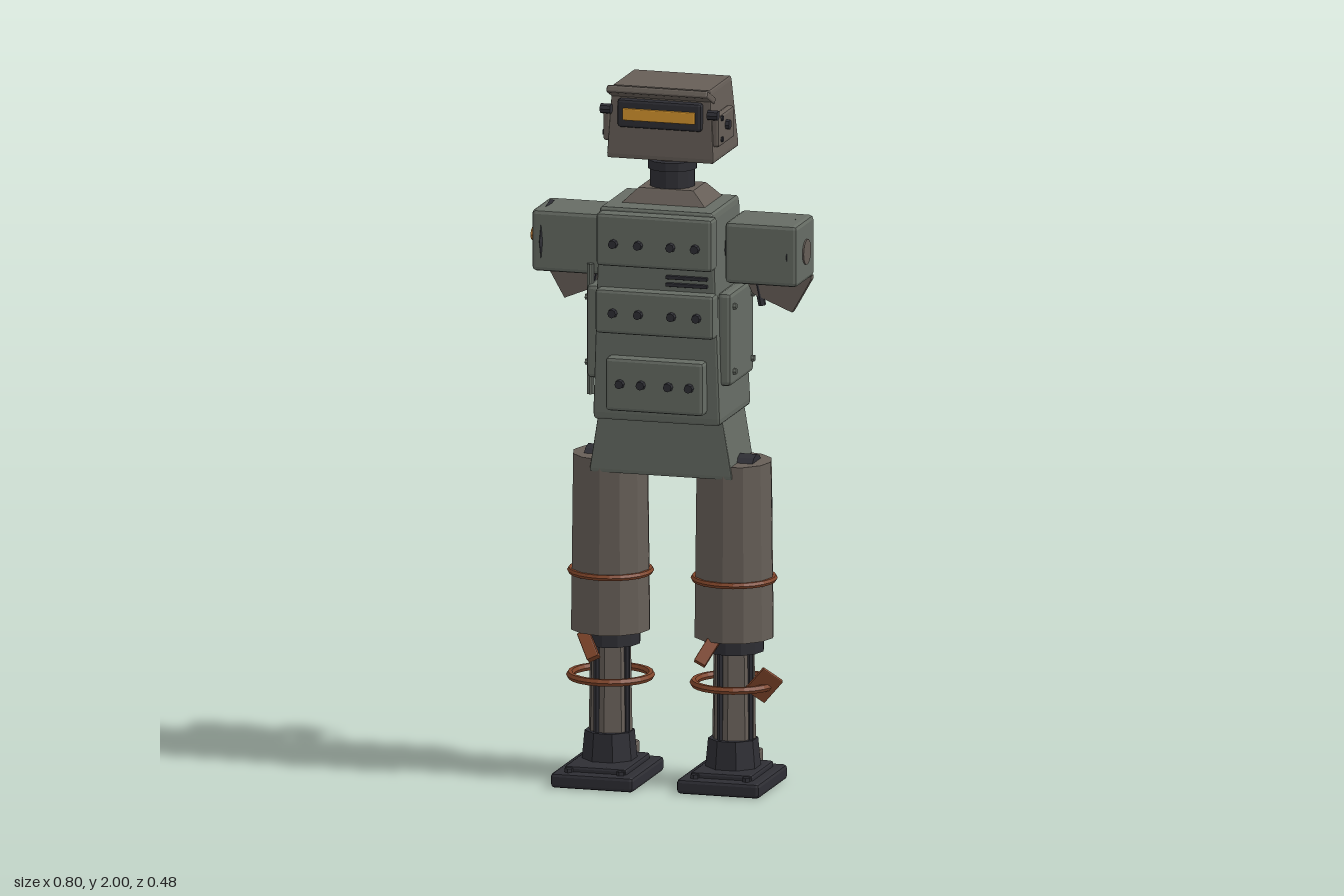
import * as THREE from 'three';
import { RoundedBoxGeometry } from 'three/addons/geometries/RoundedBoxGeometry.js';

const mat = (color) => new THREE.MeshStandardMaterial({ color, flatShading: true });
const GREEN = mat(0x666c64), BROWN = mat(0x665e57), DARK = mat(0x2e2e34);
const RUST = mat(0x80452a), ORANGE = mat(0xb0722f), GLOW = mat(0xd9982f);

export function createModel() {
  const root = new THREE.Group();

  const group = (name, parent = root) => {
    const g = new THREE.Group();
    g.name = name;
    parent.add(g);
    return g;
  };
  const add = (name, geo, m, pos = [0, 0, 0], rot = [0, 0, 0], parent = root) => {
    const mesh = new THREE.Mesh(geo, m);
    mesh.name = name;
    mesh.position.set(...pos);
    mesh.rotation.set(...rot);
    parent.add(mesh);
    return mesh;
  };
  // Bevelled box given by its ranges
  const block = (name, m, [x0, x1], [y0, y1], [z0, z1], parent, r = 0.008) =>
    add(name, new RoundedBoxGeometry(x1 - x0, y1 - y0, z1 - z0, 1, Math.min(r, (x1 - x0) / 3, (y1 - y0) / 3, (z1 - z0) / 3)),
      m, [(x0 + x1) / 2, (y0 + y1) / 2, (z0 + z1) / 2], [0, 0, 0], parent);
  // Bevelled box whose half width, back and front change from bottom to top
  const tapered = (name, m, y0, y1, bottom, top, parent, r = 0.012) => {
    const g = new RoundedBoxGeometry(1, y1 - y0, 1, 1, r);
    const p = g.attributes.position;
    for (let i = 0; i < p.count; i++) {
      const t = p.getY(i) / (y1 - y0) + 0.5;
      const [w, back, front] = bottom.map((b, k) => b + (top[k] - b) * t);
      p.setXYZ(i, p.getX(i) * 2 * w, p.getY(i), back + (p.getZ(i) + 0.5) * (front - back));
    }
    g.computeVertexNormals();
    return add(name, g, m, [0, (y0 + y1) / 2, 0], [0, 0, 0], parent);
  };
  const cyl = (rt, rb, h, n = 12) => new THREE.CylinderGeometry(rt, rb, h, n);
  const X_AXIS = [0, 0, Math.PI / 2], Z_AXIS = [Math.PI / 2, 0, 0];

  // Head
  const head = group('head');
  head.position.x = 0.003;
  tapered('skull', BROWN, 1.79, 1.995, [0.155, -0.085, 0.16], [0.142, -0.056, 0.15], head);
  block('visorFrame', DARK, [-0.122, 0.122], [1.88, 1.96], [0.13, 0.172], head);
  block('visorSlit', GLOW, [-0.105, 0.105], [1.902, 1.936], [0.15, 0.178], head, 0.003);
  add('brow', new RoundedBoxGeometry(0.295, 0.022, 0.085, 1, 0.006), BROWN, [0, 1.976, 0.152], [-0.42, 0, 0], head);
  for (const s of [-1, 1]) {
    const ear = group(s > 0 ? 'leftEar' : 'rightEar', head);
    block('earPlate', BROWN, [s * 0.157 - 0.012, s * 0.157 + 0.012], [1.835, 1.925], [0.0, 0.152], ear);
    add('earBolt', cyl(0.014, 0.014, 0.02, 8), DARK, [s * 0.17, 1.888, 0.083], X_AXIS, ear);
    for (const y of [1.855, 1.915])
      add('earRivet', cyl(0.008, 0.008, 0.012, 6), DARK, [s * 0.168, y, 0.13], X_AXIS, ear);
    add('visorHinge', cyl(0.014, 0.014, 0.03, 8), DARK, [s * 0.155, 1.93, 0.165], X_AXIS, ear);
  }

  // Neck and collar
  const neck = group('neck');
  add('neckPost', cyl(0.047, 0.047, 0.14), BROWN, [0, 1.75, 0.03], [0, 0, 0], neck);
  add('neckRing', cyl(0.064, 0.064, 0.085), DARK, [0, 1.725, 0.03], [0, 0, 0], neck);
  add('neckRingTop', cyl(0.07, 0.07, 0.025), DARK, [0, 1.757, 0.03], [0, 0, 0], neck);
  tapered('collar', BROWN, 1.645, 1.695, [0.13, -0.055, 0.125], [0.08, -0.025, 0.095], neck, 0.005);

  // Torso and pelvis
  const torso = group('torso');
  tapered('trunk', GREEN, 1.05, 1.655, [0.185, -0.113, 0.185], [0.165, -0.065, 0.19], torso, 0.02);
  tapered('pelvis', GREEN, 0.89, 1.07, [0.207, -0.068, 0.145], [0.178, -0.066, 0.148], torso, 0.01);
  block('rearBelt', BROWN, [-0.17, 0.17], [1.01, 1.042], [-0.092, -0.05], torso);
  block('chestVent', DARK, [0.03, 0.15], [1.442, 1.452], [0.17, 0.2], torso, 0.002);
  block('chestVent', DARK, [0.03, 0.15], [1.463, 1.473], [0.17, 0.2], torso, 0.002);

  // Front panels with bolts
  [[0.168, 1.495, 1.645, 0.226, 1.56], [0.172, 1.302, 1.428, 0.222, 1.362], [0.142, 1.083, 1.235, 0.222, 1.162]]
    .forEach(([w, y0, y1, z, by]) => {
      block('frontPanel', GREEN, [-w + 0.004, w + 0.004], [y0, y1], [0.17, z], torso, 0.01);
      for (const x of [-0.118, -0.045, 0.05, 0.122])
        add('panelBolt', cyl(0.012, 0.014, 0.02, 8), DARK, [x * w / 0.17 + 0.004, by, z + 0.004], Z_AXIS, torso);
    });

  // Side panels
  for (const s of [-1, 1]) {
    block('sidePanel', GREEN, [s * 0.19 - 0.02, s * 0.19 + 0.02], [1.16, 1.425], [-0.06, 0.165], torso, 0.012);
    for (const z of [-0.035, 0.14])
      for (const y of [1.2, 1.385])
        add('sideBolt', cyl(0.009, 0.009, 0.014, 6), GREEN, [s * 0.212, y, z], X_AXIS, torso);
  }
  add('sideRod', cyl(0.01, 0.01, 0.37, 8), GREEN, [-0.205, 1.295, 0.14], [0, 0, 0], torso);

  // Upper arms: box, double-cone shoulder hub and torn plate below
  const hub = (r, h) => new THREE.LatheGeometry(
    [[0, -h], [r * 0.45, -h * 0.75], [r, 0], [r * 0.45, h * 0.75], [0, h]].map(([x, y]) => new THREE.Vector2(x, y)), 12);
  const tornShape = new THREE.Shape([[-0.092, 0.01], [-0.065, -0.05], [0.05, -0.097], [0.105, 0.0], [0.105, 0.01]]
    .map(([x, y]) => new THREE.Vector2(x, y)));
  for (const s of [-1, 1]) {
    const arm = group(s > 0 ? 'leftArm' : 'rightArm');
    const cx = s > 0 ? 0.285 : -0.275;
    block('upperArm', GREEN, [cx - 0.105, cx + 0.105], [1.445, 1.62], [-0.042, 0.128], arm, 0.012);
    add('shoulderAxle', cyl(0.05, 0.05, 0.1), DARK, [s * 0.18, 1.53, 0.04], X_AXIS, arm);
    add('armHub', hub(s > 0 ? 0.092 : 0.102, 0.028), DARK, [s > 0 ? 0.36 : -0.352, 1.53, 0.04], X_AXIS, arm);
    add('armEndDisc', cyl(0.036, 0.036, 0.01, 16), BROWN, [cx + s * 0.104, 1.53, 0.04], X_AXIS, arm);
    const torn = new THREE.ExtrudeGeometry(tornShape, { depth: 0.024, bevelEnabled: false });
    // Half turn keeps the outline mirrored without flipping faces
    add('tornPlate', torn, BROWN, [cx, 1.44, s > 0 ? -0.033 : -0.009], [0, s > 0 ? 0 : Math.PI, 0], arm);
    add('tornStrut', cyl(0.011, 0.011, 0.11, 6), DARK, [s * 0.235, 1.41, -0.018], [0, 0, s * 0.2], arm);
    if (s < 0) add('armPin', cyl(0.018, 0.018, 0.04, 8), ORANGE, [-0.385, 1.53, 0.035], X_AXIS, arm);
  }

  // Legs
  for (const s of [-1, 1]) {
    const leg = group(s > 0 ? 'leftLeg' : 'rightLeg');
    leg.position.set(s > 0 ? 0.181 : -0.177, 0, 0.038);
    const put = (name, geo, m, pos, rot) => add(name, geo, m, pos, rot, leg);
    put('hip', cyl(0.055, 0.055, 0.13), DARK, [0, 0.89, 0], X_AXIS);
    put('thigh', cyl(0.107, 0.113, 0.5), BROWN, [0, 0.675, 0]);
    put('kneeCuff', cyl(0.085, 0.085, 0.05), DARK, [0, 0.41, 0]);
    put('thighRing', new THREE.TorusGeometry(0.112, 0.009, 6, 24), RUST, [0, 0.59, 0], Z_AXIS);
    put('shin', cyl(0.058, 0.064, 0.34, 8), BROWN, [0, 0.27, 0]);
    for (const a of [0.4, 2.0, 3.6, 5.2])
      put('shinRod', cyl(0.009, 0.009, 0.28, 6), DARK, [0.058 * Math.cos(a), 0.27, 0.058 * Math.sin(a)]);
    put('shinRing', new THREE.TorusGeometry(0.113, 0.011, 6, 24), RUST, [0, 0.292, 0], Z_AXIS);
    put('ankle', cyl(0.07, 0.078, 0.085, 8), DARK, [0, 0.095, 0.01], [0, Math.PI / 8, 0]);

    // Foot
    const front = s > 0 ? 0.16 : 0.185;
    block('sole', DARK, [-0.12, 0.12], [0, 0.042], [-0.12, front], leg, 0.01);
    block('footTop', DARK, [-0.09, 0.09], [0.035, 0.058], [-0.085, front - 0.035], leg);
    block('heel', BROWN, [-0.05, 0.05], [0.045, 0.085], [-0.122, -0.05], leg);
    for (const x of [-0.075, 0.075])
      put('toeBolt', cyl(0.012, 0.012, 0.014, 6), DARK, [x, 0.046, front - 0.03]);
    // Dark cracks at the back of the thigh
    put('thighCrack', new THREE.ConeGeometry(0.012, 0.09, 4), DARK, [0.03, 0.8, -0.103], [Math.PI, 0, 0]);
    put('thighCrack', new THREE.BoxGeometry(0.012, 0.22, 0.02), DARK, [s * 0.08, 0.7, -0.07], [0, s * 0.8, 0]);
  }

  // Loose rusted scraps
  const scraps = group('scraps');
  const scrap = (size, pos, rot, m = RUST) =>
    add('scrap', new RoundedBoxGeometry(...size, 1, 0.003), m, pos, rot, scraps);
  scrap([0.07, 0.085, 0.014], [0.278, 0.298, 0.075], [0.3, 0.3, -0.75]);
  scrap([0.035, 0.1, 0.025], [0.137, 0.405, 0.14], [-0.5, 0.3, -0.4]);
  scrap([0.035, 0.085, 0.03], [-0.213, 0.39, 0.13], [-0.5, 0, 0.5]);
  scrap([0.014, 0.2, 0.018], [-0.285, 0.67, 0.01], [0.05, 0, 0], ORANGE);
  scrap([0.014, 0.11, 0.018], [-0.238, 0.37, 0.02], [0.05, 0, 0], ORANGE);

  // Back unit with cooling fins and bent plates
  const pack = group('backUnit');
  block('packCap', ORANGE, [-0.162, 0], [1.545, 1.59], [-0.193, -0.1], pack);
  block('packCore', BROWN, [-0.14, -0.02], [1.3, 1.555], [-0.175, -0.115], pack);
  for (let i = 0; i < 6; i++)
    block('fin', DARK, [-0.152, -0.008], [1.325 + i * 0.037, 1.343 + i * 0.037], [-0.185, -0.11], pack, 0.004);
  block('packBase', BROWN, [-0.15, -0.01], [1.29, 1.315], [-0.185, -0.1], pack);
  block('packMount', DARK, [-0.12, -0.04], [1.38, 1.48], [-0.13, -0.07], pack);
  add('bentPlate', new RoundedBoxGeometry(0.115, 0.075, 0.014, 1, 0.004), RUST, [-0.165, 1.31, -0.188], [0.15, 0.24, -0.75], pack);
  add('bentPlate', new RoundedBoxGeometry(0.15, 0.09, 0.016, 1, 0.004), RUST, [-0.005, 1.365, -0.193], [0.2, -0.49, 0.1], pack);

  return root;
}
